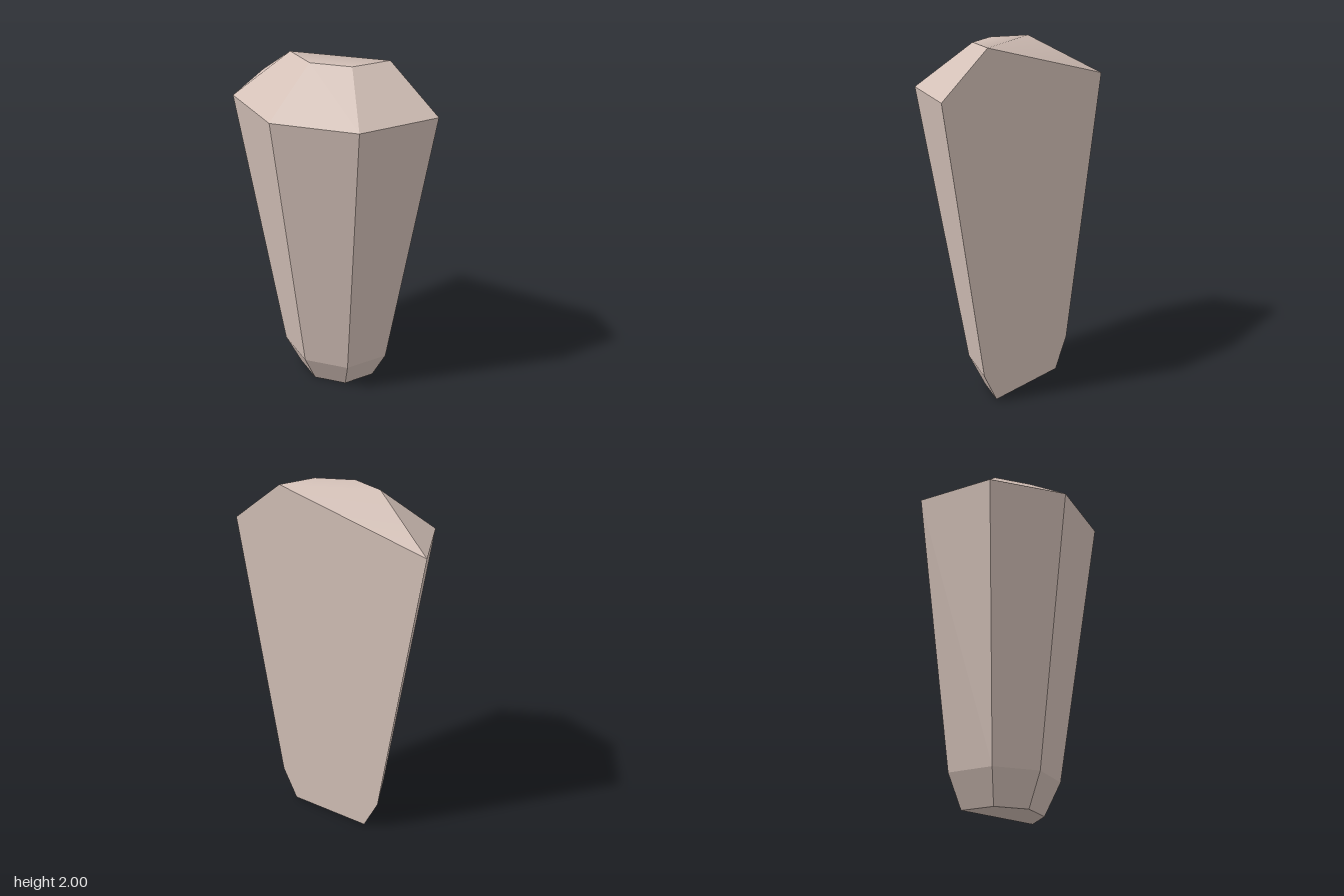
import * as THREE from 'three';

// Half of a tapering octagonal crystal, sliced lengthwise through its axis.
const AXIS_X = 0.165;
const RADIUS = 0.5953;
const LEVELS = [
  { y: 0, scale: 0.42 },      // foot
  { y: 0.185, scale: 0.573 }, // top of the lower bevel
  { y: 1.77, scale: 1 },      // widest ring
  { y: 2, scale: 0.485 },     // crown
];

// Five corners of half an octagon, from the front edge round to the back edge.
function halfRing({ y, scale }) {
  return [0, 1, 2, 3, 4].map((i) => {
    const a = THREE.MathUtils.degToRad(67.5 + 45 * i);
    const r = RADIUS * scale;
    return new THREE.Vector3(AXIS_X + r * Math.cos(a), y, r * Math.sin(a));
  });
}

// Flat faces: every polygon is fanned into separate triangles.
function facets(polygons) {
  const points = [];
  for (const p of polygons) {
    for (let i = 1; i < p.length - 1; i++) points.push(p[0], p[i], p[i + 1]);
  }
  const geometry = new THREE.BufferGeometry().setFromPoints(points);
  geometry.computeVertexNormals();
  return geometry;
}

export function createModel() {
  const group = new THREE.Group();
  group.name = 'crystalShard';
  const stone = new THREE.MeshStandardMaterial({ color: 0xd3c0b7 });
  stone.name = 'pale pinkish stone';

  const add = (name, geometry) => {
    const mesh = new THREE.Mesh(geometry, stone);
    mesh.name = name;
    group.add(mesh);
  };

  const rings = LEVELS.map(halfRing);
  const [foot, bevel, wide, crown] = rings;

  // Bands of facets between neighbouring rings
  ['lowerBevel', 'shaft', 'shoulder'].forEach((name, k) => {
    const lo = rings[k];
    const hi = rings[k + 1];
    const faces = [];
    for (let i = 0; i < 4; i++) {
      // the crown has no back corner, so its last facet is a triangle
      if (k === 2 && i === 3) faces.push([lo[3], hi[3], lo[4]]);
      else faces.push([lo[i], hi[i], hi[i + 1], lo[i + 1]]);
    }
    add(name, facets(faces));
  });

  // Flat underside
  add('underside', facets([foot]));

  // Long sliced face
  add('slicedFace', facets([[foot[4], bevel[4], wide[4], crown[0], wide[0], bevel[0], foot[0]]]));

  // Flat top blending softly into the sloping back chip
  const top = new THREE.BufferGeometry().setFromPoints([...crown.slice(0, 4), wide[4]]);
  top.setIndex([3, 2, 1, 3, 1, 0, 3, 0, 4]);
  top.computeVertexNormals();
  add('crownTop', top);

  return group;
}
